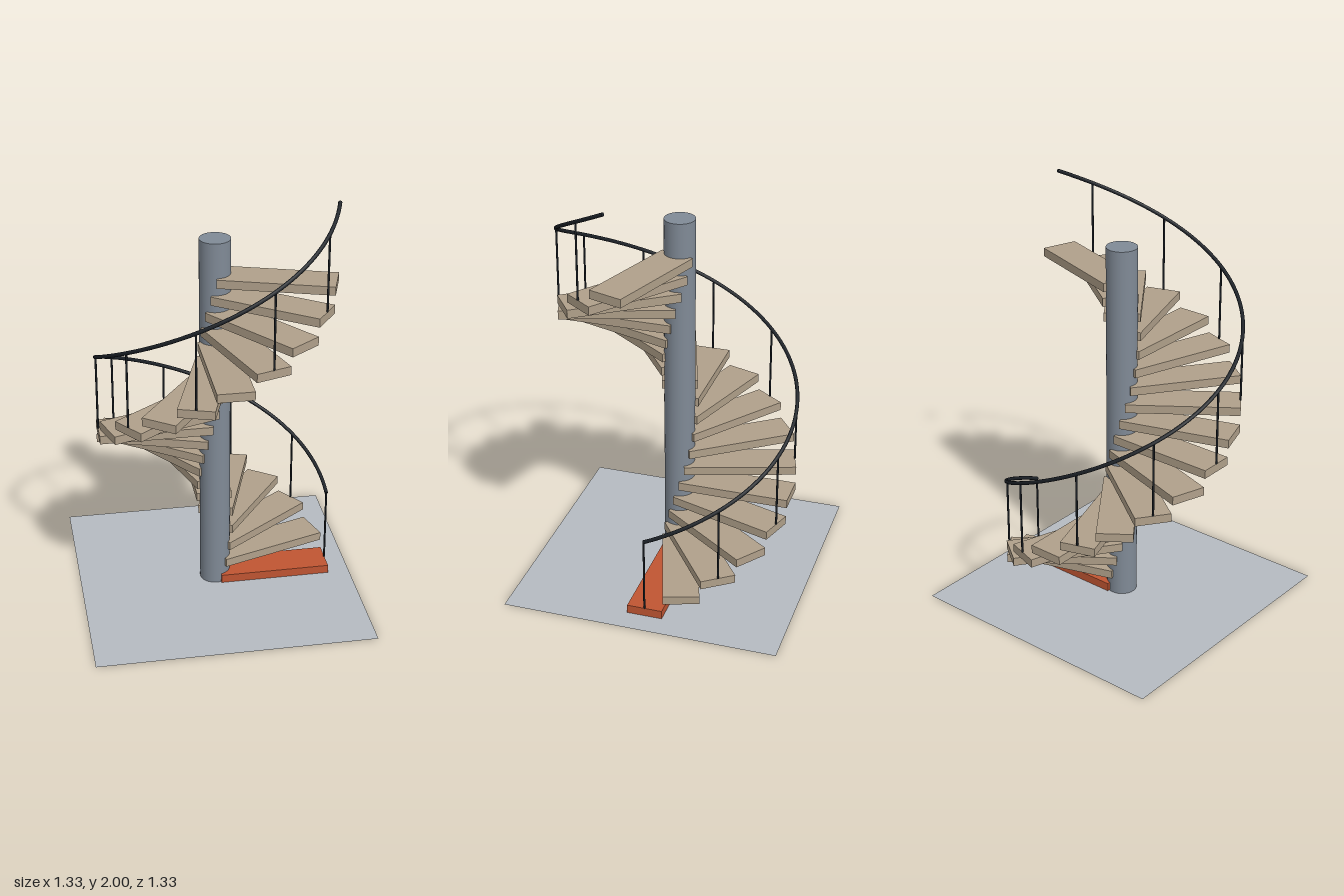
import * as THREE from 'three';

const STEPS = 20, TURN = Math.PI / 10, RISE = 0.08305;
const RAIL_R = 0.554, RAIL_Y = 0.414, FIRST_Y = 0.025;
const TREAD = { inner: 0.02, outer: 0.555, width: 0.17, thick: 0.0415 };

// Point on a helix at step t (counter-clockwise seen from above)
const helix = (t, radius, baseY) => new THREE.Vector3(
  radius * Math.cos(t * TURN), baseY + t * RISE, -radius * Math.sin(t * TURN));

class RailCurve extends THREE.Curve {
  getPoint(u, target = new THREE.Vector3()) {
    return target.copy(helix(u * (STEPS - 1), RAIL_R, RAIL_Y));
  }
}

function material(name, color, side = THREE.FrontSide) {
  const m = new THREE.MeshStandardMaterial({ color, side });
  m.name = name;
  return m;
}

export function createModel() {
  const stone = material('pale grey floor', 0xb5bac1, THREE.DoubleSide);
  const steel = material('blue grey steel', 0x808a96);
  const wood = material('tan wood', 0xb0a08a);
  const accent = material('red orange', 0xc05532);
  const iron = material('black iron', 0x1b2026);

  const group = new THREE.Group();
  group.name = 'spiralStaircase';
  const add = (name, geometry, mat) => {
    const mesh = new THREE.Mesh(geometry, mat);
    mesh.name = name;
    group.add(mesh);
    return mesh;
  };

  // Floor sheet and central column
  add('floor', new THREE.PlaneGeometry(1.326, 1.326).rotateX(-Math.PI / 2), stone);
  add('column', new THREE.CylinderGeometry(0.073, 0.073, 1.79, 32).translate(0, 0.896, 0), steel);

  // Treads, the lowest one highlighted
  const treadGeo = new THREE.BoxGeometry(TREAD.outer - TREAD.inner, TREAD.thick, TREAD.width)
    .translate((TREAD.outer + TREAD.inner) / 2, 0, 0);
  for (let i = 0; i < STEPS; i++) {
    const tread = add(i ? 'tread' : 'firstTread', treadGeo, i ? wood : accent);
    tread.position.y = FIRST_Y + i * RISE;
    tread.rotation.y = i * TURN;
  }

  // Balusters on every second tread, reaching up to the rail
  const bottom = FIRST_Y + TREAD.thick / 2;
  const height = RAIL_Y - bottom;
  const postGeo = new THREE.CylinderGeometry(0.005, 0.005, height, 8);
  for (let i = 0; i < STEPS; i += 2) {
    add('baluster', postGeo, iron).position.copy(helix(i, RAIL_R, bottom + height / 2));
  }

  // Handrail with closed ends
  const curve = new RailCurve();
  add('handrail', new THREE.TubeGeometry(curve, 160, 0.009, 10), iron);
  for (const u of [0, 1]) {
    const cap = add('handrailEnd', new THREE.CircleGeometry(0.009, 10), iron);
    const dir = curve.getTangent(u).multiplyScalar(u ? 1 : -1);
    cap.position.copy(curve.getPoint(u));
    cap.quaternion.setFromUnitVectors(new THREE.Vector3(0, 0, 1), dir);
  }
  return group;
}
